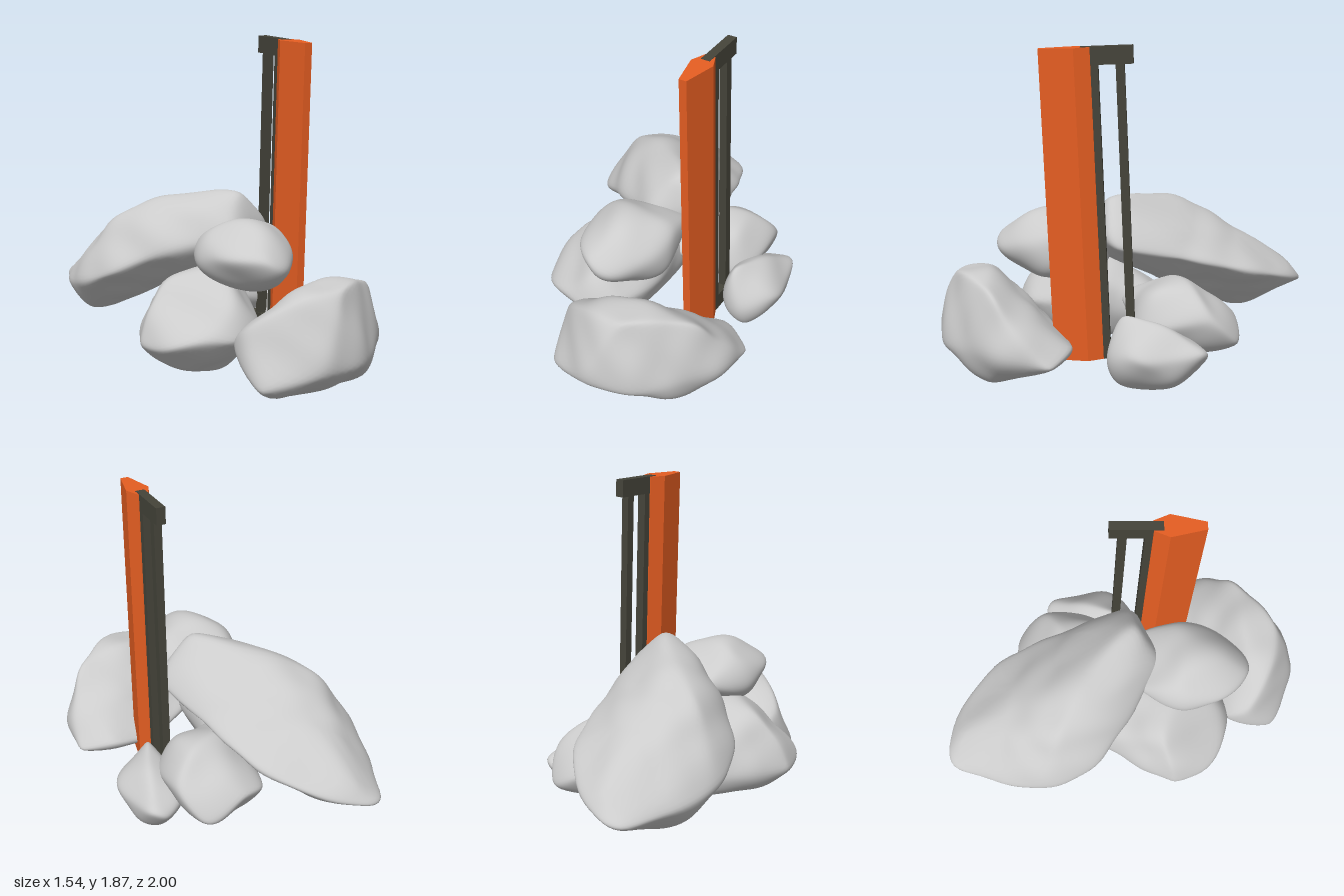
import * as THREE from 'three';
import { mergeVertices } from 'three/addons/utils/BufferGeometryUtils.js';

const grey = new THREE.MeshStandardMaterial({ color: 0xcccccc });
const orange = new THREE.MeshStandardMaterial({ color: 0xe65e22 });
const dark = new THREE.MeshStandardMaterial({ color: 0x45443a });

// Rounded hull point for direction d: a blend of the corners lying furthest that way
function hullPoint(points, d, target) {
  const reach = points.map((q) => q.dot(d));
  const far = Math.max(...reach);
  let total = 0;
  target.set(0, 0, 0);
  points.forEach((q, j) => {
    const w = Math.exp(24 * (reach[j] - far));
    total += w;
    target.addScaledVector(q, w);
  });
  return target.divideScalar(total);
}

// Boulder: a rounded hull around a few corner points, with slight lumps
function rock(name, corners) {
  const ball = new THREE.IcosahedronGeometry(1, 14);
  ball.deleteAttribute('normal');
  ball.deleteAttribute('uv');
  const geometry = mergeVertices(ball);
  const pos = geometry.attributes.position;
  const points = corners.map((c) => new THREE.Vector3(...c));
  const centre = new THREE.Box3().setFromPoints(points).getCenter(new THREE.Vector3());
  const ray = new THREE.Vector3(), d = new THREE.Vector3(), p = new THREE.Vector3(), out = new THREE.Vector3();
  for (let i = 0; i < pos.count; i++) {
    ray.fromBufferAttribute(pos, i).normalize();
    d.copy(ray);
    // Turn d until the point lies along the ray, which spreads the vertices evenly
    for (let step = 0; step < 30; step++) {
      out.copy(hullPoint(points, d, p)).sub(centre).normalize();
      d.addScaledVector(ray, 0.06).addScaledVector(out, -0.06).normalize();
    }
    hullPoint(points, d, p);
    const lump = Math.sin(13 * p.x + 5 * p.y) * Math.sin(14 * p.y + 4 * p.z) * Math.sin(12 * p.z - 6 * p.x);
    p.addScaledVector(d, 0.034 + 0.014 * lump);
    pos.setXYZ(i, p.x, p.y, p.z);
  }
  geometry.computeVertexNormals();
  const mesh = new THREE.Mesh(geometry, grey);
  mesh.name = name;
  return mesh;
}

function box(name, w, y0, y1, z0, z1) {
  const mesh = new THREE.Mesh(new THREE.BoxGeometry(w, y1 - y0, z1 - z0), dark);
  mesh.position.set(0, (y0 + y1) / 2, (z0 + z1) / 2);
  mesh.name = name;
  return mesh;
}

// Upright slab blade with a long grip frame behind it
function buildBlade() {
  const group = new THREE.Group();
  group.name = 'blade';
  const height = 1.727;

  // Six-sided section: narrow front edge, wide shoulders, narrow back
  const half = [[0.022, 0.363], [0.065, 0.172], [0.03, 0.088]];
  const outline = [
    ...half.map(([x, z]) => new THREE.Vector2(x, -z)),
    ...half.map(([x, z]) => new THREE.Vector2(-x, -z)).reverse(),
  ];
  const slab = new THREE.Mesh(
    new THREE.ExtrudeGeometry(new THREE.Shape(outline), { depth: height, bevelEnabled: false }), orange);
  slab.rotation.x = -Math.PI / 2;
  slab.name = 'bladeSlab';

  group.add(
    slab,
    box('frameSpine', 0.052, 0, height, 0.048, 0.09),
    box('frameGrip', 0.045, 0.05, height - 0.05, -0.092, -0.045),
    box('frameTopBar', 0.052, height - 0.095, height + 0.002, -0.14, 0.14),
    box('frameBottomBar', 0.052, -0.002, 0.095, -0.14, 0.088),
  );
  group.rotation.order = 'YXZ';
  group.rotation.set(0.041, 0.155, 0);
  group.position.set(0.313, 0.142, -0.07);
  return group;
}

export function createModel() {
  const model = new THREE.Group();
  model.name = 'bladeInRocks';
  model.add(buildBlade());

  model.add(rock('frontRock', [
    [-0.13, 0.22, 0.75], [-0.11, 0.3, 0.6], [-0.08, 0.12, 0.9], [-0.1, 0.41, 0.75],
    [0.22, 0.2, 0.99], [0.3, 0.39, 0.95], [0, 0.2, 0.93], [0.5, 0.2, 0.88],
    [0.75, 0.22, 0.5], [0.75, 0.33, 0.42], [0.73, 0.2, 0.23], [0.69, 0.3, 0.64], [0.69, 0.48, 0.5],
    [0.28, 0.61, 0.65], [0.45, 0.61, 0.78], [0.61, 0.58, 0.6], [0.1, 0.54, 0.84], [0.35, 0.59, 0.87],
    [0.55, 0.25, 0.17], [0.4, 0.2, 0.21], [0.2, 0.2, 0.3],
    [0.1, 0.015, 0.7], [0.4, 0.035, 0.6], [0.6, 0.05, 0.6], [0.5, 0.1, 0.36], [0.15, 0.08, 0.85],
  ]));

  model.add(rock('sideRock', [
    [-0.57, 0.28, 0.33], [-0.5, 0.42, 0.35], [-0.45, 0.15, 0.2], [-0.5, 0.25, 0.49], [-0.55, 0.25, 0.38],
    [-0.2, 0.63, 0.3], [-0.07, 0.6, 0.35], [-0.41, 0.56, 0.25], [-0.15, 0.61, 0.12],
    [-0.25, 0.35, 0.62], [-0.12, 0.3, 0.62], [-0.43, 0.3, 0.57], [0.05, 0.35, 0.5], [-0.1, 0.51, 0.52],
    [0.1, 0.35, 0.2], [0.06, 0.5, 0.1],
    [-0.2, 0.09, 0.35], [-0.05, 0.1, 0.3], [-0.38, 0.12, 0.42],
    [-0.32, 0.3, -0.28], [-0.05, 0.3, -0.25], [-0.1, 0.47, -0.12], [-0.3, 0.2, -0.22], [-0.03, 0.2, -0.1],
  ]));

  model.add(rock('middleRock', [
    [-0.24, 0.7, 0.35], [-0.19, 0.84, 0.32], [-0.21, 0.64, 0.33], [-0.2, 0.75, 0.5],
    [0.27, 0.75, 0.35], [0.27, 0.63, 0.32], [0.24, 0.82, 0.25], [0.23, 0.58, 0.42], [0.24, 0.76, 0.5],
    [-0.1, 0.88, 0.3], [0, 0.9, 0.35], [0.15, 0.88, 0.3], [0, 0.88, 0.52], [0.1, 0.86, 0.54],
    [0, 0.76, 0.7], [0.1, 0.7, 0.69], [-0.14, 0.74, 0.61], [0.19, 0.67, 0.61], [0.05, 0.65, 0.67],
    [0, 0.55, 0.54], [0.13, 0.54, 0.5], [0.18, 0.54, 0.32], [-0.06, 0.56, 0.32], [-0.14, 0.6, 0.5],
    [-0.15, 0.72, 0.08], [0.15, 0.75, 0.05], [0.05, 0.6, 0.08],
  ]));

  // Large tilted slab: rim, then upper face, then underside
  model.add(rock('tiltedRock', [
    [-0.58, 0.4, -1], [-0.68, 0.38, -0.93], [-0.4, 0.45, -0.97], [-0.2, 0.52, -0.87],
    [-0.02, 0.59, -0.69], [0.08, 0.66, -0.49], [0.18, 0.73, -0.3], [0.28, 0.75, -0.09], [0.24, 0.8, 0.02],
    [0, 0.75, 0.18], [-0.15, 0.78, 0.12], [-0.4, 0.68, 0.02], [-0.61, 0.55, -0.13],
    [-0.77, 0.42, -0.5], [-0.7, 0.38, -0.76], [-0.72, 0.46, -0.3],
    [0.1, 1, 0.02], [0, 0.98, -0.1], [-0.2, 0.96, -0.22], [-0.4, 0.91, -0.29],
    [-0.55, 0.82, -0.35], [-0.3, 0.83, -0.5], [-0.4, 0.67, -0.74], [-0.69, 0.6, -0.37], [-0.5, 0.54, -0.9],
    [0.2, 0.9, 0], [0.03, 0.93, 0.1], [-0.18, 0.92, 0.01], [-0.42, 0.84, -0.12], [0.13, 0.88, -0.18],
    [-0.57, 0.23, -0.6], [-0.67, 0.29, -0.5], [-0.3, 0.36, -0.4], [0.05, 0.6, -0.1],
    [0, 0.64, 0.08], [-0.4, 0.31, -0.75],
  ]));

  model.add(rock('backRock', [
    [0, 0.35, -0.67], [0.15, 0.23, -0.7], [0.25, 0.25, -0.69], [0.35, 0.4, -0.57],
    [0.39, 0.35, -0.35], [0.35, 0.3, -0.2], [0.2, 0.35, -0.12], [0, 0.4, -0.05],
    [-0.14, 0.3, -0.3], [-0.14, 0.3, -0.55],
    [0.15, 0.55, -0.4], [0.25, 0.53, -0.48], [0.28, 0.51, -0.25], [0, 0.53, -0.3],
    [0.1, 0.17, -0.55], [0.25, 0.18, -0.5], [0.2, 0.17, -0.25], [0, 0.17, -0.3], [-0.06, 0.17, -0.5],
  ]));

  model.add(rock('smallRock', [
    [0.45, 0.25, -0.56], [0.4, 0.2, -0.56], [0.52, 0.25, -0.53], [0.62, 0.22, -0.28], [0.59, 0.26, -0.17],
    [0.5, 0.2, -0.04], [0.4, 0.3, -0.06], [0.32, 0.2, -0.1], [0.4, 0.12, -0.05],
    [0.45, 0.4, -0.25], [0.4, 0.41, -0.11], [0.45, 0.35, -0.4], [0.3, 0.25, -0.45], [0.3, 0.3, -0.3],
    [0.45, 0.025, -0.2], [0.42, 0.035, -0.4], [0.5, 0.06, -0.1], [0.55, 0.1, -0.4], [0.26, 0.12, -0.28],
  ]));

  return model;
}
